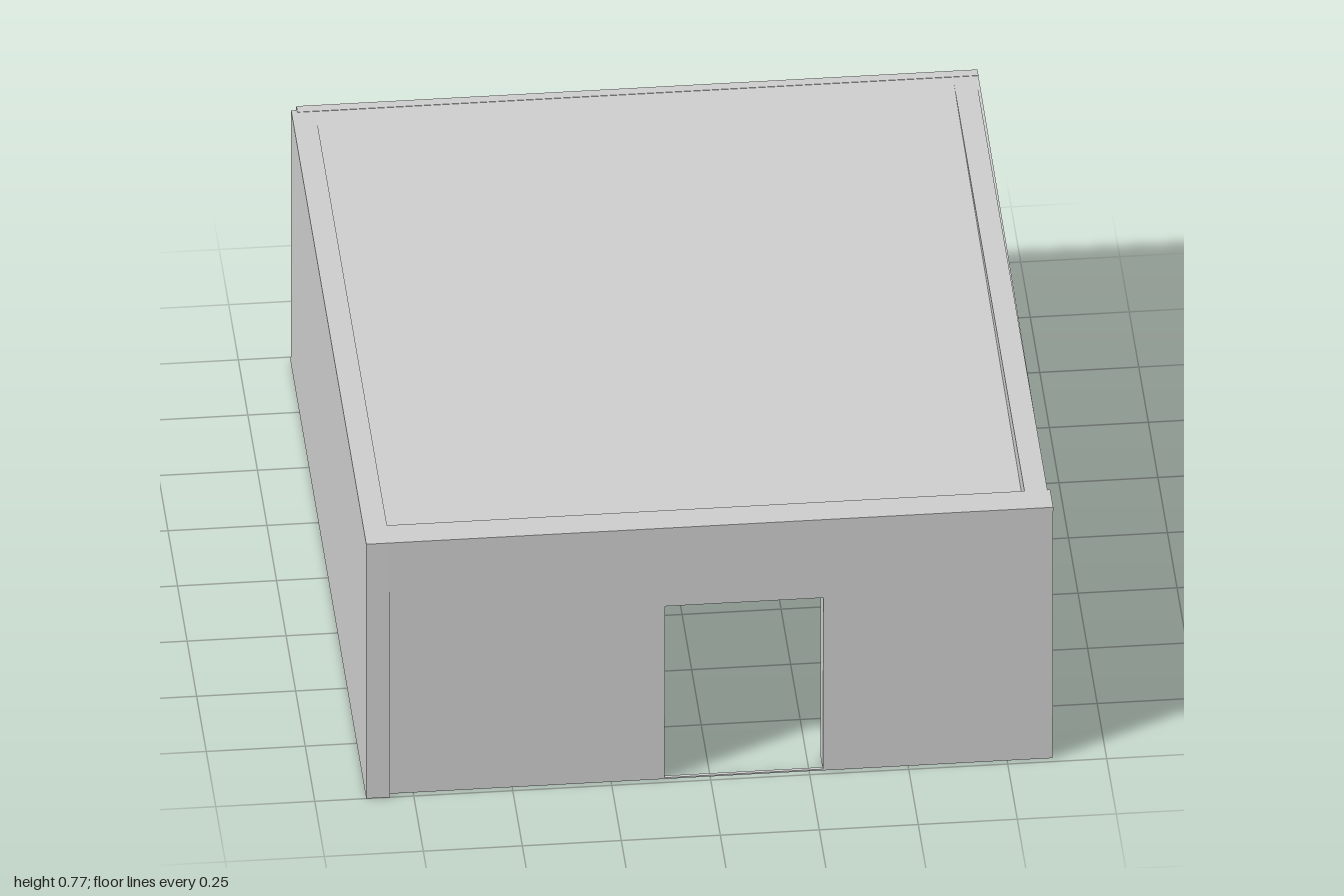
import * as THREE from 'three';

const mat = new THREE.MeshStandardMaterial({ color: 0xcccccc, flatShading: true });

function add(parent, name, geometry) {
  const mesh = new THREE.Mesh(geometry, mat);
  mesh.name = name;
  parent.add(mesh);
  return mesh;
}

// Box given by its limits on each axis
function box(parent, name, x0, x1, y0, y1, z0, z1) {
  const g = new THREE.BoxGeometry(x1 - x0, y1 - y0, z1 - z0);
  g.translate((x0 + x1) / 2, (y0 + y1) / 2, (z0 + z1) / 2);
  return add(parent, name, g);
}

// Side profile of [z, y] points, extruded along x
function profile(parent, name, points, x0, x1) {
  const shape = new THREE.Shape(points.map(([z, y]) => new THREE.Vector2(-z, y)));
  const g = new THREE.ExtrudeGeometry(shape, { depth: x1 - x0, bevelEnabled: false });
  g.rotateY(Math.PI / 2).translate(x0, 0, 0);
  return add(parent, name, g);
}

// Four legs at the corners of a rectangle, with optional middle pairs
function legs(parent, x0, x1, z0, z1, height, rows = 2, r = 0.008) {
  for (const x of [x0, x1]) {
    for (let i = 0; i < rows; i++) {
      const g = new THREE.CylinderGeometry(r, r, height, 8);
      g.translate(x, height / 2, z0 + (z1 - z0) * i / (rows - 1));
      add(parent, 'leg', g);
    }
  }
}

function buildShell() {
  const shell = new THREE.Group();
  shell.name = 'shell';
  const H = 0.77;

  // Front wall with a door opening; its outer face leans in towards the ground
  const outline = [[-0.82, 0], [-0.115, 0], [-0.115, 0.53], [0.285, 0.53], [0.285, 0],
    [0.865, 0], [0.865, H], [-0.82, H]];
  const g = new THREE.ExtrudeGeometry(
    new THREE.Shape(outline.map(p => new THREE.Vector2(...p))),
    { depth: 0.08, bevelEnabled: false });
  g.translate(0, 0, 0.92);
  const p = g.attributes.position;
  for (let i = 0; i < p.count; i++) {
    if (p.getZ(i) > 0.95) p.setZ(i, 1 - 0.016 * (1 - p.getY(i) / H));
  }
  g.computeVertexNormals();
  add(shell, 'frontWall', g);
  box(shell, 'doorSill', -0.115, 0.285, 0, 0.004, 0.975, 0.984);

  // Side walls and back wall
  profile(shell, 'rightWall', [[1, 0], [1, H], [-0.965, H], [-0.965, 0.73], [-0.975, 0]], -0.87, -0.81);
  profile(shell, 'leftWall', [[0.92, 0], [0.92, H], [-0.962, H], [-0.962, 0.73], [-0.975, 0]], 0.8, 0.858);
  profile(shell, 'backWall', [[-0.9, 0], [-0.9, 0.735], [-0.96, 0.735], [-0.975, 0]], -0.81, 0.8);
  box(shell, 'backCornerPost', 0.858, 0.865, 0, 0.735, -0.96, -0.89);

  // Roof slab rising to the back, its edge showing outside the left wall
  profile(shell, 'roofSlab', [[0.92, 0.665], [0.92, 0.71], [-0.96, 0.77], [-0.96, 0.735]], -0.81, 0.865);

  // Drip edge along the back
  profile(shell, 'dripEdge', [[-0.955, 0.74], [-0.955, 0.771], [-0.982, 0.771], [-1, 0.747], [-1, 0.74]],
    -0.855, 0.865);
  return shell;
}

function buildBed() {
  const bed = new THREE.Group();
  bed.name = 'bed';
  const x0 = -0.56, x1 = -0.38, z0 = 0.25, z1 = 0.73;
  box(bed, 'bedBase', x0, x1, 0.07, 0.11, z0, z1);
  box(bed, 'headboard', x0, x1, 0.05, 0.165, z0 - 0.01, z0 + 0.01);
  box(bed, 'footboard', x0, x1, 0.06, 0.15, z1 - 0.01, z1 + 0.01);
  legs(bed, x0 + 0.015, x1 - 0.015, z0 + 0.025, z1 - 0.025, 0.08, 4);
  return bed;
}

function buildTable() {
  const table = new THREE.Group();
  table.name = 'table';
  box(table, 'tableTop', 0.42, 0.65, 0.14, 0.155, -0.02, 0.21);
  legs(table, 0.435, 0.635, -0.005, 0.195, 0.145, 2, 0.006);
  return table;
}

function buildChair() {
  const chair = new THREE.Group();
  chair.name = 'chair';
  box(chair, 'seat', 0.29, 0.42, 0.07, 0.09, -0.01, 0.13);
  box(chair, 'chairBack', 0.29, 0.305, 0.09, 0.24, -0.01, 0.13);
  legs(chair, 0.305, 0.405, 0.01, 0.115, 0.075);
  return chair;
}

function buildLamp() {
  const lamp = new THREE.Group();
  lamp.name = 'ceilingLamp';
  add(lamp, 'lampShade', new THREE.CylinderGeometry(0.05, 0.065, 0.015, 24));
  add(lamp, 'lampCord', new THREE.CylinderGeometry(0.003, 0.003, 0.22, 6).translate(0, 0.11, 0));
  lamp.position.set(0.1, 0.49, 0.1);
  return lamp;
}

export function createModel() {
  const model = new THREE.Group();
  model.name = 'house';
  model.add(buildShell(), buildBed(), buildTable(), buildChair(), buildLamp());
  return model;
}
